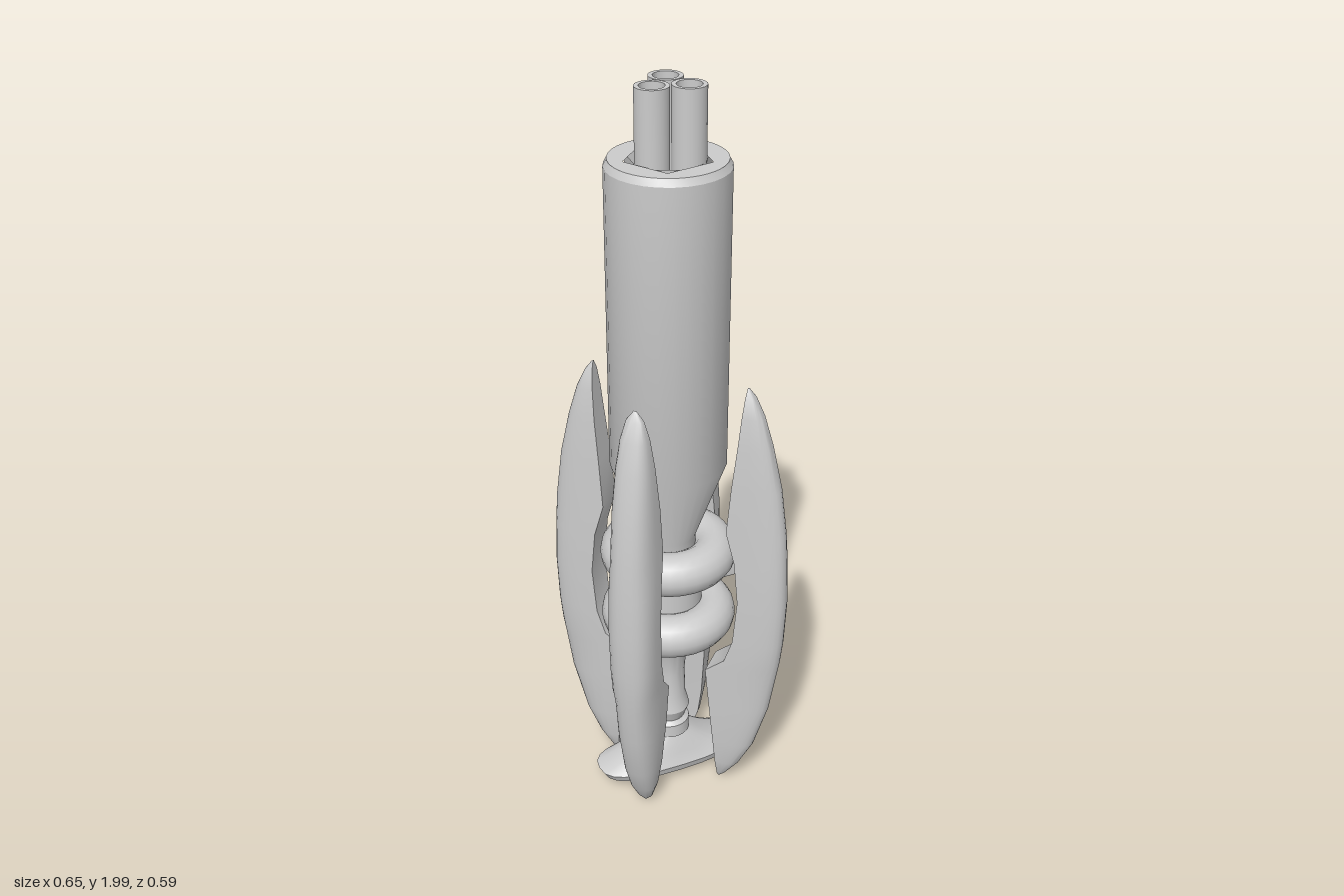
import * as THREE from 'three';
import { toCreasedNormals } from 'three/addons/utils/BufferGeometryUtils.js';

const material = new THREE.MeshStandardMaterial({ color: 0xcccccc });
const openMaterial = new THREE.MeshStandardMaterial({ color: 0xcccccc, side: THREE.DoubleSide });

function add(parent, name, geometry, mat = material) {
  const mesh = new THREE.Mesh(geometry, mat);
  mesh.name = name;
  parent.add(mesh);
  return mesh;
}

// Skin closed cross-sections, listed from bottom to top
function loft(rings, crease) {
  const n = rings[0].length, index = [];
  for (let i = 0; i < rings.length - 1; i++) {
    for (let j = 0; j < n; j++) {
      const a = i * n + j, b = i * n + (j + 1) % n;
      index.push(a, a + n, b, b, a + n, b + n);
    }
  }
  const g = new THREE.BufferGeometry();
  g.setAttribute('position', new THREE.Float32BufferAttribute(rings.flat(2), 3));
  g.setIndex(index);
  return toCreasedNormals(g, crease);
}

function lathe(profile, segments = 28, crease = 0.5) {
  const points = profile.map(([r, y]) => new THREE.Vector2(r, y));
  return toCreasedNormals(new THREE.LatheGeometry(points, segments), crease);
}

const bulge = (v, power) => Math.sign(v) * Math.abs(v) ** power;

// Fin rows: height, inner distance, outer distance, half width
const finRows = [
  [0.01, 0.15, 0.153, 0.002], [0.03, 0.15, 0.172, 0.02], [0.08, 0.147, 0.21, 0.036],
  [0.16, 0.142, 0.25, 0.047], [0.3, 0.13, 0.29, 0.057], [0.415, 0.12, 0.308, 0.061],
  [0.46, 0.172, 0.315, 0.062], [0.53, 0.195, 0.322, 0.063], [0.66, 0.206, 0.327, 0.064],
  [0.78, 0.195, 0.323, 0.063], [0.87, 0.17, 0.317, 0.06], [1, 0.18, 0.3, 0.056],
  [1.12, 0.192, 0.273, 0.047], [1.2, 0.198, 0.249, 0.036], [1.25, 0.202, 0.226, 0.022],
  [1.275, 0.204, 0.207, 0.003],
];

// Flat inner face, rounded outer face
function finGeometry(depthScale, widthScale) {
  const squeeze = d => 0.205 + (d - 0.205) * depthScale;
  const rings = finRows.map(([y, inner, outer, half]) => {
    const ring = [];
    for (let j = 0; j <= 14; j++) {
      const t = (j / 14 - 0.5) * Math.PI;
      const d = inner + (outer - inner) * bulge(Math.max(Math.cos(t), 0), 0.65);
      ring.push([squeeze(d), y, half * widthScale * bulge(Math.sin(t), 0.8)]);
    }
    return ring;
  });
  return loft(rings, 0.75);
}

export function createModel() {
  const model = new THREE.Group();
  model.name = 'rotaryBarrelDevice';
  const x0 = -0.005;

  // Main housing with tapered lower end
  add(model, 'housing', lathe([
    [0.001, 0.7], [0.07, 0.72], [0.072, 0.81], [0.15, 1.03], [0.15, 1.81], [0.14, 1.828],
  ])).position.x = x0;

  // Top rim with a five-sided opening
  const rim = new THREE.Shape().absarc(0, 0, 0.141, 0, Math.PI * 2);
  const opening = new THREE.Path();
  for (let i = 0; i < 5; i++) {
    const a = -i * Math.PI * 0.4 + 0.04;
    opening[i ? 'lineTo' : 'moveTo'](0.108 * Math.cos(a), 0.108 * Math.sin(a));
  }
  opening.closePath();
  rim.holes.push(opening);
  const rimGeometry = new THREE.ShapeGeometry(rim, 28);
  rimGeometry.rotateX(-Math.PI / 2);
  add(model, 'topRim', rimGeometry, openMaterial).position.set(x0, 1.828, 0);

  // Recess walls and floor
  const recess = lathe([[0.108, 1.828], [0.1, 1.7], [0.09, 1.55], [0.001, 1.55]], 5, 0.3);
  recess.rotateY(0.04 - Math.PI / 2);
  add(model, 'recess', recess, openMaterial).position.x = x0;

  // Three hollow barrels
  for (let i = 0; i < 3; i++) {
    const a = i * Math.PI * 2 / 3;
    const barrel = add(model, 'barrel', lathe([
      [0.041, 1.5], [0.041, 2], [0.03, 2], [0.03, 1.56], [0.001, 1.56],
    ], 24), openMaterial);
    barrel.position.set(x0 + 0.049 * Math.cos(a), 0, -0.005 + 0.049 * Math.sin(a));
  }

  // Core, stem and collar
  add(model, 'core', new THREE.CylinderGeometry(0.09, 0.09, 0.24, 28)).position.set(x0, 0.66, 0);
  add(model, 'stem', lathe([
    [0.055, 0.12], [0.05, 0.15], [0.058, 0.152], [0.058, 0.19], [0.045, 0.2], [0.058, 0.235],
    [0.047, 0.28], [0.045, 0.36], [0.05, 0.43], [0.08, 0.5], [0.09, 0.56],
  ])).position.x = x0;

  // Two thick rings
  for (const y of [0.56, 0.757]) {
    const ring = new THREE.TorusGeometry(0.122, 0.058, 16, 32);
    ring.rotateX(Math.PI / 2);
    add(model, 'ring', ring).position.set(x0, y, 0);
  }

  // Four curved fins
  for (let k = 0; k < 4; k++) {
    const side = k % 2 === 0;
    const fin = add(model, side ? 'sideFin' : 'frontBackFin', finGeometry(side ? 1 : 0.75, side ? 0.7 : 1));
    fin.rotation.y = k * Math.PI / 2;
    fin.position.x = side ? -0.002 : -0.01;
  }

  // Flared foot, set diagonally: height, half length, half width
  const footRows = [
    [0.025, 0.005, 0.005], [0.025, 0.14, 0.055], [0.042, 0.2, 0.078], [0.065, 0.214, 0.085],
    [0.075, 0.185, 0.08], [0.1, 0.13, 0.07], [0.13, 0.085, 0.06], [0.16, 0.045, 0.045],
  ];
  const foot = add(model, 'foot', loft(footRows.map(([y, a, b]) =>
    Array.from({ length: 24 }, (_, j) => {
      const t = j * Math.PI / 12;
      return [a * bulge(Math.cos(t), 0.75), y, b * bulge(Math.sin(t), 0.75)];
    })), 0.6));
  foot.rotation.y = Math.PI / 4;
  foot.position.x = x0;

  // Hooked handle, set diagonally
  const outline = [[0.06, 0.683], [0.28, 0.683], [0.295, 0.62], [0.325, 0.51], [0.31, 0.478],
    [0.225, 0.48], [0.222, 0.5], [0.25, 0.56], [0.245, 0.63], [0.06, 0.63]];
  const handleGeometry = new THREE.ExtrudeGeometry(
    new THREE.Shape(outline.map(([x, y]) => new THREE.Vector2(x, y))),
    { depth: 0.03, bevelThickness: 0.008, bevelSize: 0.006, bevelOffset: -0.006, bevelSegments: 2 });
  handleGeometry.translate(0, 0, -0.015);
  const handle = add(model, 'handle', toCreasedNormals(handleGeometry, 0.6));
  handle.rotation.y = Math.PI / 4;
  handle.position.x = x0;

  return model;
}
